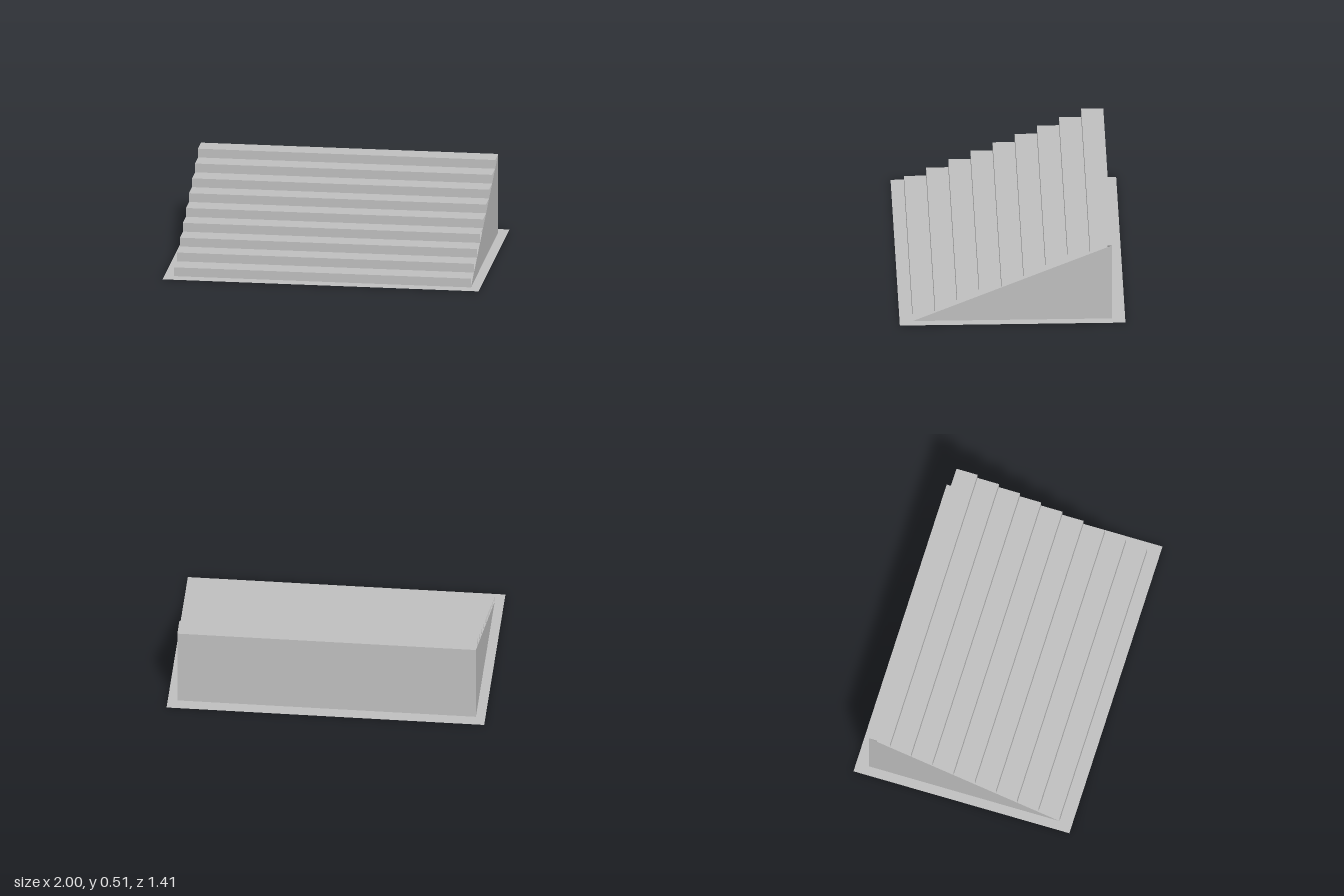
import * as THREE from 'three';

export function createModel() {
  const model = new THREE.Group();
  model.name = 'staircase';
  const grey = new THREE.MeshStandardMaterial({ color: 0xbfbfbf, side: THREE.DoubleSide, flatShading: true });
  grey.name = 'concrete grey';

  const steps = 9, width = 1.88, depth = 1.25, height = 0.514;
  const run = depth / steps, rise = height / steps;

  const add = (name, geometry, x, y, z) => {
    const mesh = new THREE.Mesh(geometry, grey);
    mesh.name = name;
    mesh.position.set(x, y, z);
    model.add(mesh);
  };
  const floorPanel = (w, d) => new THREE.PlaneGeometry(w, d).rotateX(-Math.PI / 2);

  // Thin ground sheet
  add('base', floorPanel(2, 1.415), 0, 0, 0);

  // Open-ended steps, each a riser with a tread behind it
  for (let i = 0; i < steps; i++) {
    const front = depth / 2 - i * run;
    add('riser', new THREE.PlaneGeometry(width, rise), 0, (i + 0.5) * rise, front);
    add('tread', floorPanel(width, run), 0, (i + 1) * rise, front - run / 2);
  }

  // Triangular side walls, rotated so the shape's x axis runs towards the back
  const triangle = new THREE.Shape([
    new THREE.Vector2(-depth / 2, 0),
    new THREE.Vector2(depth / 2, 0),
    new THREE.Vector2(depth / 2, height),
  ]);
  const side = new THREE.ShapeGeometry(triangle).rotateY(Math.PI / 2);
  add('leftWall', side, width / 2, 0, 0);
  // Mirrored by reversing the winding, so this wall faces outwards too
  const mirrored = side.clone();
  mirrored.setIndex(Array.from(side.index.array).reverse());
  mirrored.computeVertexNormals();
  add('rightWall', mirrored, -width / 2, 0, 0);

  // Back wall
  add('backWall', new THREE.PlaneGeometry(width, height).rotateY(Math.PI), 0, height / 2, -depth / 2);

  return model;
}
